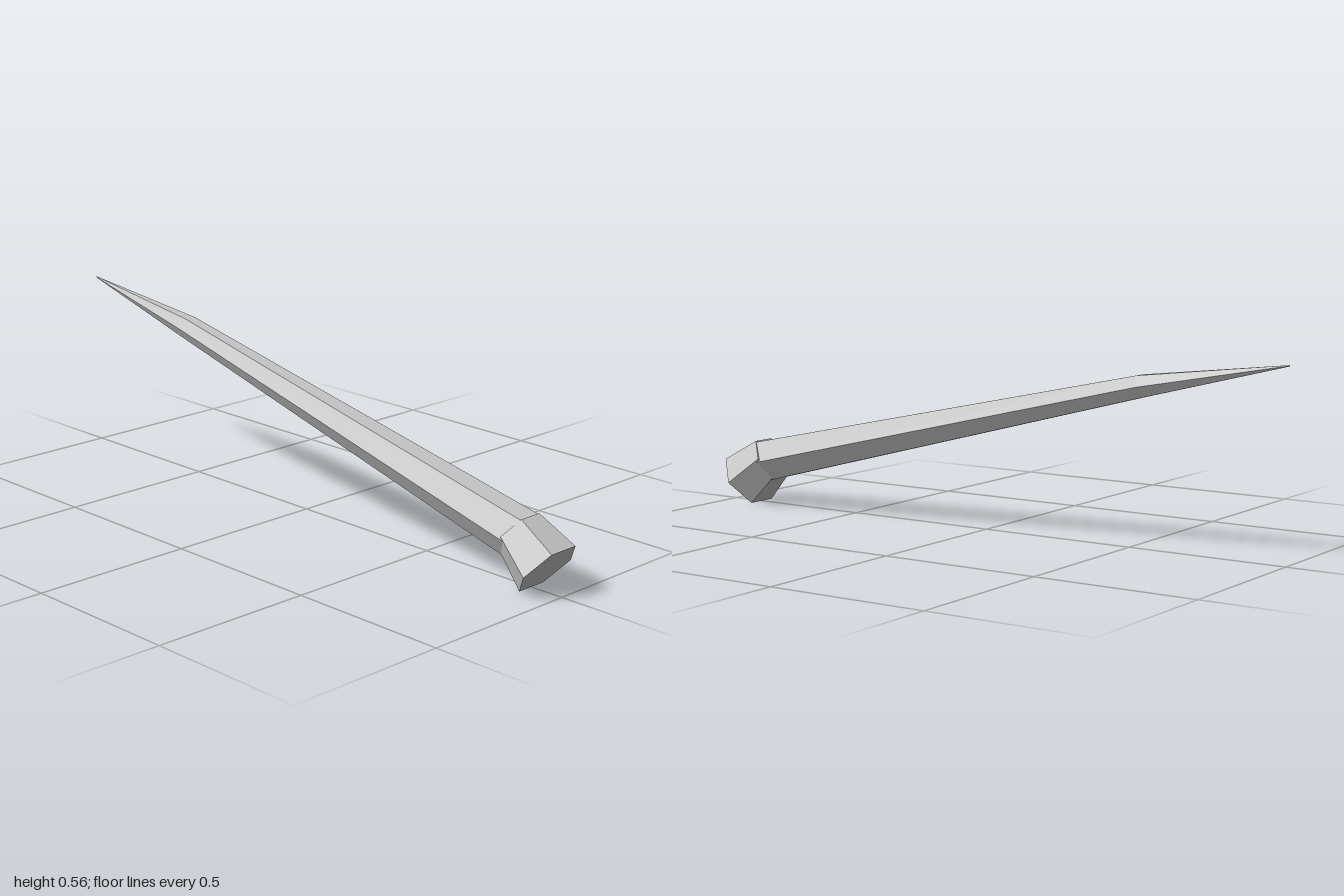
import * as THREE from 'three';

// Corners of a hexagonal ring centred at (0, y, z), leaning towards +z by tilt
function ring({ y, z, r, tilt }) {
  return Array.from({ length: 6 }, (_, i) => {
    const a = (i * Math.PI) / 3;
    const up = r * Math.sin(a);
    return [r * Math.cos(a), y + up * Math.cos(tilt), z + up * Math.sin(tilt)];
  });
}

// Closed hexagonal frustum between a front and a back section
function frustum(front, back) {
  const a = ring(front), b = ring(back);
  const pos = [];
  const tri = (...corners) => corners.forEach((c) => pos.push(...c));
  for (let i = 0; i < 6; i++) {
    const j = (i + 1) % 6;
    tri(a[i], b[i], b[j]);
    tri(a[i], b[j], a[j]);
    tri([0, front.y, front.z], a[i], a[j]);
    tri([0, back.y, back.z], b[j], b[i]);
  }
  const geometry = new THREE.BufferGeometry();
  geometry.setAttribute('position', new THREE.Float32BufferAttribute(pos, 3));
  geometry.computeVertexNormals();
  return geometry;
}

export function createModel() {
  const model = new THREE.Group();
  model.name = 'spike';
  const grey = new THREE.MeshStandardMaterial({ color: 0xc9c9c9, flatShading: true });
  grey.name = 'light grey';

  const add = (name, front, back) => {
    const mesh = new THREE.Mesh(frustum(front, back), grey);
    mesh.name = name;
    model.add(mesh);
  };

  // Flared foot, bent down from the shaft
  add('flaredBase',
    { y: 0.069, z: 0.946, r: 0.1, tilt: 0.675 },
    { y: 0.153, z: 0.84, r: 0.075, tilt: 0.675 });

  // Long tapering shaft, then a sharper point sharing its end section
  const shoulder = { y: 0.472, z: -0.537, r: 0.0375, tilt: 0.238 };
  add('shaft', { y: 0.137, z: 0.865, r: 0.075, tilt: 0.238 }, shoulder);
  add('tip', shoulder, { y: 0.558, z: -1, r: 0.002, tilt: 0.238 });

  return model;
}
